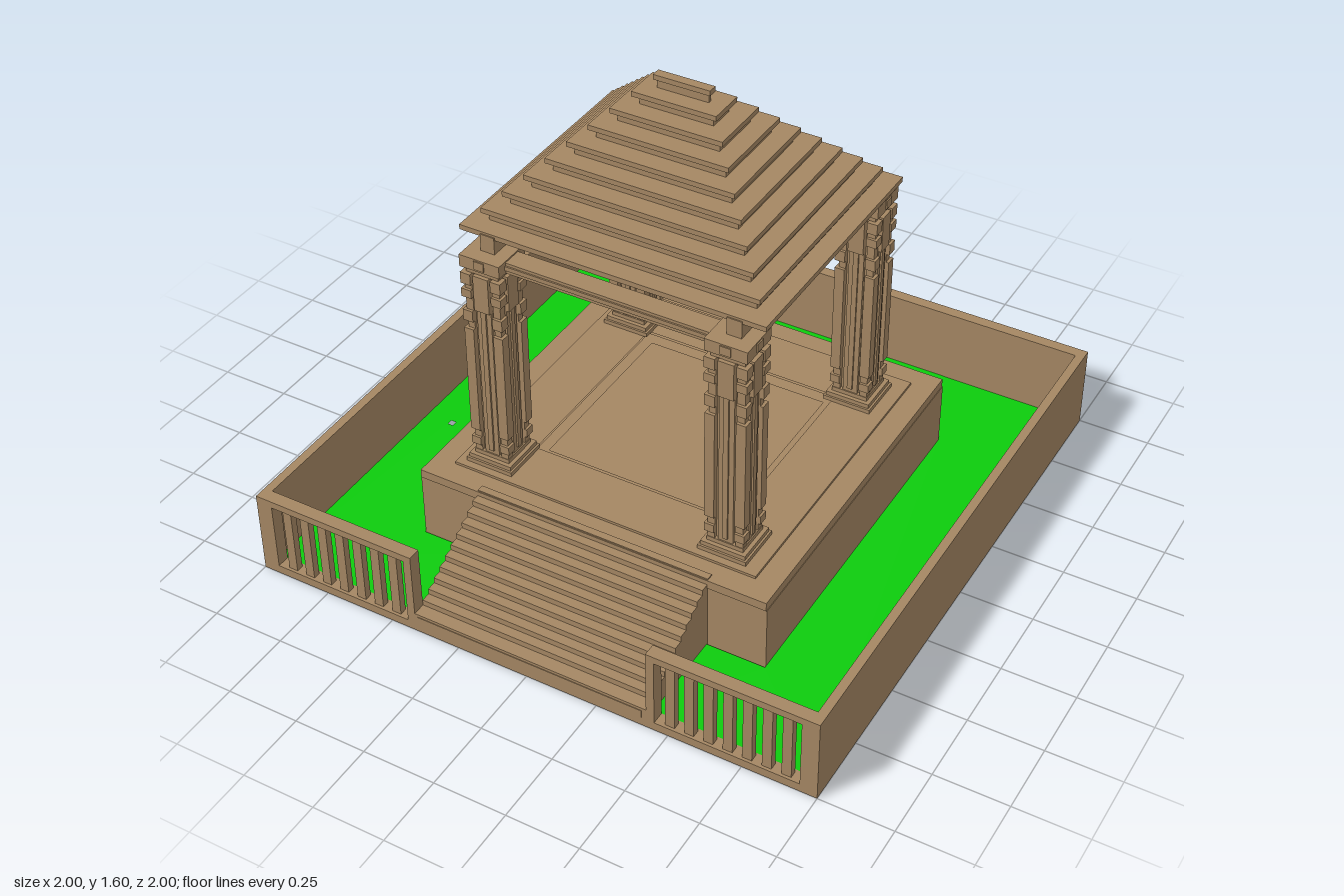
import * as THREE from 'three';

const stone = new THREE.MeshStandardMaterial({ color: 0xa58763 });
stone.name = 'stone';
const grass = new THREE.MeshStandardMaterial({ color: 0x0ccc0c });
grass.name = 'grass';

// box given by its limits on each axis
function box(parent, name, x0, x1, y0, y1, z0, z1) {
  const m = new THREE.Mesh(new THREE.BoxGeometry(x1 - x0, y1 - y0, z1 - z0), stone);
  m.position.set((x0 + x1) / 2, (y0 + y1) / 2, (z0 + z1) / 2);
  m.name = name;
  parent.add(m);
}

// square block centred on the parent's axis
const block = (parent, name, h, y0, y1) => box(parent, name, -h, h, y0, y1, -h, h);

// flat plate extruded upwards from an outline of [x, z] points with optional holes
function plate(parent, name, material, outline, holes, y0, y1) {
  const pts = (list) => list.map(([x, z]) => new THREE.Vector2(x, -z));
  const shape = new THREE.Shape(pts(outline));
  holes.forEach((h) => shape.holes.push(new THREE.Path(pts(h))));
  const geo = new THREE.ExtrudeGeometry(shape, { depth: y1 - y0, bevelEnabled: false });
  geo.rotateX(-Math.PI / 2).translate(0, y0, 0);
  const m = new THREE.Mesh(geo, material);
  m.name = name;
  parent.add(m);
}
const square = (h) => [[-h, -h], [h, -h], [h, h], [-h, h]];

function group(parent, name) {
  const g = new THREE.Group();
  g.name = name;
  parent.add(g);
  return g;
}

function buildFence(parent, name, x0, x1) {
  const g = group(parent, name);
  box(g, 'bottomRail', x0, x1, 0, 0.03, 0.955, 1);
  box(g, 'topRail', x0, x1, 0.275, 0.3, 0.955, 1);
  box(g, 'endPost', x0, x0 + 0.028, 0.03, 0.275, 0.955, 1);
  box(g, 'endPost', x1 - 0.028, x1, 0.03, 0.275, 0.955, 1);
  const n = 7, pitch = (x1 - x0 - 0.056) / (n + 0.5);
  for (let i = 0; i < n; i++) {
    const x = x0 + 0.028 + pitch * (i + 0.75);
    box(g, 'slat', x - 0.016, x + 0.016, 0.03, 0.275, 0.965, 0.99);
  }
}

function buildColumn(parent, name, x, z) {
  const g = group(parent, name);
  g.position.set(x, 0, z);
  block(g, 'foot', 0.085, 0.3, 0.315);
  block(g, 'footStep', 0.078, 0.315, 0.33);
  block(g, 'footTop', 0.064, 0.33, 0.345);
  block(g, 'shaft', 0.05, 0.345, 1.06);
  block(g, 'neck', 0.058, 1.04, 1.062);
  block(g, 'capital', 0.072, 1.062, 1.105);
  // raised panels and thin ribs on all four faces
  for (let i = 0; i < 4; i++) {
    const face = group(g, 'columnFace');
    face.rotation.y = i * Math.PI / 2;
    box(face, 'panel', -0.026, 0.026, 0.345, 0.91, 0.05, 0.06);
    box(face, 'rib', -0.009, 0.009, 0.36, 0.91, 0.06, 0.066);
    box(face, 'upperPanel', -0.027, 0.027, 0.91, 1.04, 0.05, 0.071);
    box(face, 'capitalBoss', -0.018, 0.018, 1.07, 1.1, 0.072, 0.076);
  }
  // notched corner mouldings
  const bands = [[0.062, 0.345, 0.37], [0.07, 0.37, 0.4], [0.062, 0.4, 0.43], [0.07, 0.43, 0.83],
    [0.06, 0.83, 0.86], [0.071, 0.86, 0.9], [0.062, 0.9, 0.95], [0.072, 0.95, 0.98],
    [0.063, 0.98, 1.0], [0.072, 1.0, 1.04]];
  for (const sx of [-1, 1]) for (const sz of [-1, 1]) {
    for (const [r, y0, y1] of bands) {
      const c = (0.036 + r) / 2, h = (r - 0.036) / 2;
      box(g, 'cornerMoulding', sx * c - h, sx * c + h, y0, y1, sz * c - h, sz * c + h);
    }
  }
}

export function createModel() {
  const model = new THREE.Group();
  model.name = 'gardenPavilion';

  // enclosing walls and front fences
  const walls = group(model, 'gardenWalls');
  box(walls, 'leftWall', 0.97, 1, 0, 0.3, -1, 1);
  box(walls, 'rightWall', -1, -0.97, 0, 0.3, -1, 1);
  box(walls, 'backWall', -0.97, 0.97, 0, 0.3, -1, -0.96);
  buildFence(model, 'rightFence', -0.97, -0.41);
  buildFence(model, 'leftFence', 0.425, 0.97);

  // lawn around the platform and stairs, with a small drain hole
  plate(model, 'lawn', grass,
    [[-0.97, -0.96], [0.97, -0.96], [0.97, 0.955], [0.425, 0.955], [0.425, 0.63], [0.63, 0.63],
      [0.63, -0.63], [-0.63, -0.63], [-0.63, 0.63], [-0.41, 0.63], [-0.41, 0.955], [-0.97, 0.955]],
    [[[-0.88, 0.11], [-0.86, 0.11], [-0.86, 0.13], [-0.88, 0.13]]], 0.005, 0.028);

  // platform with a raised plinth and a stepped sunken floor
  const platform = group(model, 'platform');
  box(platform, 'platformBase', -0.63, 0.63, 0, 0.26, -0.63, 0.625);
  plate(platform, 'platformEdge', stone, square(0.628), [square(0.33)], 0.26, 0.28);
  plate(platform, 'platformTop', stone, square(0.628), [square(0.36)], 0.28, 0.291);
  plate(platform, 'plinth', stone, square(0.548), [square(0.36)], 0.291, 0.3);

  // stairs, each step reaching from its riser back to the platform
  const stairs = group(model, 'stairs');
  const steps = 12;
  for (let i = 0; i < steps; i++) {
    const front = i === 0 ? 1 : 0.955 - (i - 1) * 0.033;
    const top = 0.07 + i * 0.0205;
    box(stairs, 'step', -0.41, 0.425, i === 0 ? 0 : top - 0.0205, top, 0.6, front);
  }
  box(stairs, 'bottomRiserPanel', -0.4, 0.41, 0.02, 0.06, 1, 1.002);

  // four columns
  for (const [sx, x] of [['right', -0.435], ['left', 0.415]]) {
    for (const [sz, z] of [['Front', 0.438], ['Back', -0.412]]) {
      buildColumn(model, sx + sz + 'Column', x, z);
    }
  }

  // beams across the columns
  const beams = group(model, 'beams');
  for (const z of [0.438, -0.412]) {
    box(beams, 'crossBeam', -0.43, 0.41, 1.062, 1.1, z - 0.035, z + 0.035);
    box(beams, 'crossBeamBand', -0.43, 0.41, 1.075, 1.09, z - 0.04, z + 0.04);
  }
  for (const x of [-0.435, 0.415]) {
    box(beams, 'sideBeam', x - 0.025, x + 0.025, 1.1, 1.165, -0.44, 0.46);
  }

  // stepped roof: overhanging slabs with narrower courses between
  const roof = group(model, 'roof');
  roof.position.set(-0.01, 1.155, 0.006);
  for (let i = 0; i < 10; i++) {
    const hx = 0.527 - i * 0.0477, hz = 0.45 - i * 0.0482, y = i * 0.0475;
    box(roof, 'roofSlab', -hx, hx, y, y + 0.0175, -hz, hz);
    if (i > 0) {
      const inset = Math.min(0.018, hz - 0.007);
      box(roof, 'roofCourse', -hx + inset, hx - inset, y - 0.03, y, -hz + inset, hz - inset);
    }
  }
  return model;
}
